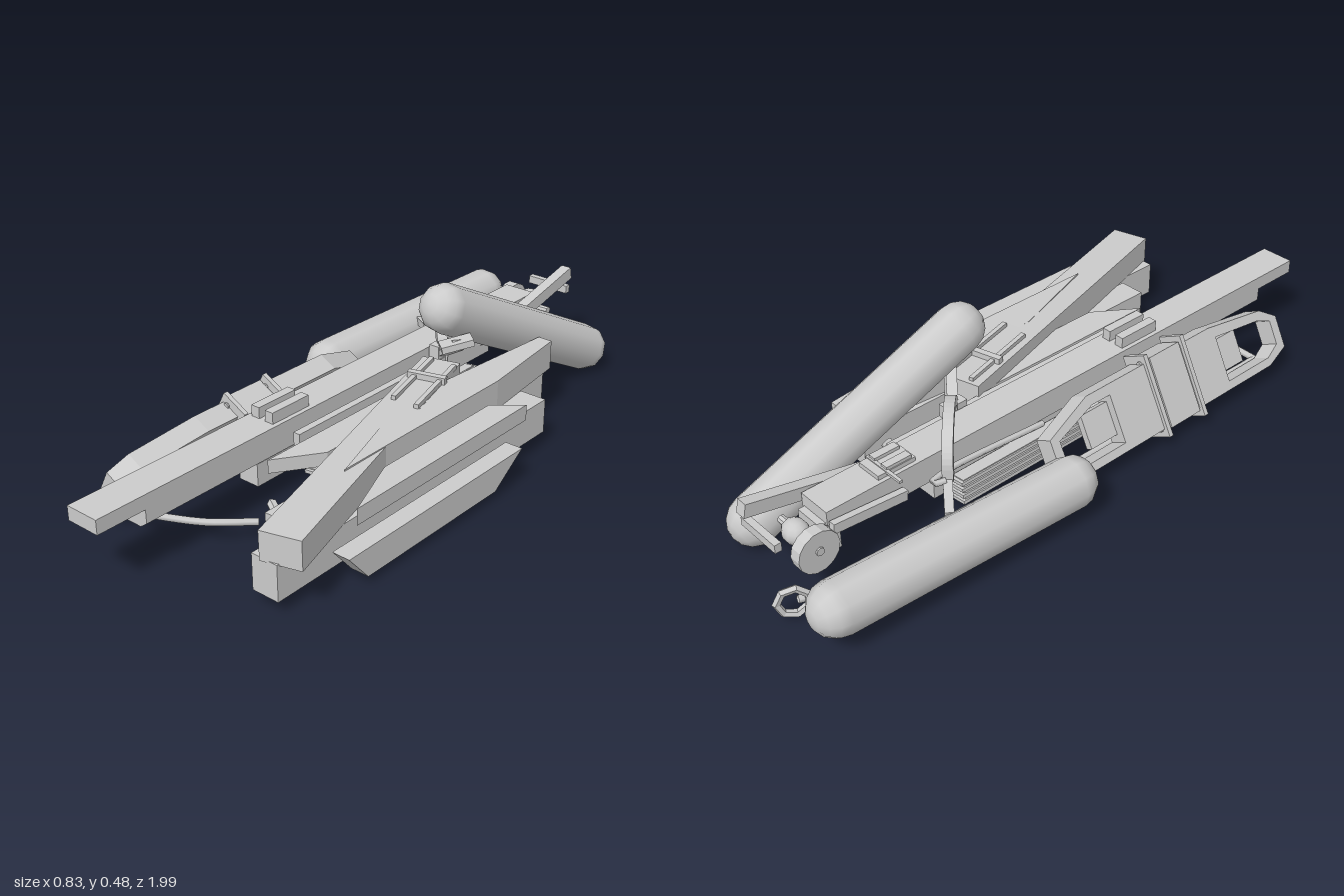
import * as THREE from 'three';
import { mergeVertices } from 'three/addons/utils/BufferGeometryUtils.js';

const flat = new THREE.MeshStandardMaterial({ color: 0xcccccc, flatShading: true, side: THREE.DoubleSide });
const smooth = new THREE.MeshStandardMaterial({ color: 0xcccccc, side: THREE.DoubleSide });
const V = (p) => new THREE.Vector3(...p);

function add(parent, name, geometry, material = flat) {
  const mesh = new THREE.Mesh(geometry, material);
  mesh.name = name;
  parent.add(mesh);
  return mesh;
}

// Box given by its limits on each axis
function block(parent, name, [x0, x1], [y0, y1], [z0, z1]) {
  const mesh = add(parent, name, new THREE.BoxGeometry(x1 - x0, y1 - y0, z1 - z0));
  mesh.position.set((x0 + x1) / 2, (y0 + y1) / 2, (z0 + z1) / 2);
  return mesh;
}

// Box running from a to b
function beam(parent, name, a, b, w, h) {
  const mesh = add(parent, name, new THREE.BoxGeometry(w, h, V(a).distanceTo(V(b))));
  mesh.position.copy(V(a).add(V(b)).multiplyScalar(0.5));
  mesh.lookAt(V(b));
  return mesh;
}

function polygon(points, holes = []) {
  const shape = new THREE.Shape(points.map((p) => new THREE.Vector2(...p)));
  holes.forEach((h) => shape.holes.push(new THREE.Path(h.map((p) => new THREE.Vector2(...p)))));
  return shape;
}

const extrude = (shape, depth) => new THREE.ExtrudeGeometry(shape, { depth, bevelEnabled: false, curveSegments: 10 });

// Outline in x,z raised between two heights
function planSlab(parent, name, points, y0, y1) {
  return add(parent, name, extrude(polygon(points), y1 - y0).rotateX(Math.PI / 2).translate(0, y1, 0));
}

// Outline in z,y extended between two x positions
function sideSlab(parent, name, points, x0, x1, holes) {
  return add(parent, name, extrude(polygon(points, holes), x1 - x0).rotateY(-Math.PI / 2).translate(x1, 0, 0));
}

function rod(parent, name, points, radius) {
  const curve = new THREE.CatmullRomCurve3(points.map(V));
  return add(parent, name, new THREE.TubeGeometry(curve, 16, radius, 6), smooth);
}

// Round-ended tank between the centres of its two domes
function tank(parent, name, a, b, r) {
  const g = mergeVertices(new THREE.CapsuleGeometry(r, V(a).distanceTo(V(b)), 4, 10));
  const mesh = add(parent, name, g, smooth);
  mesh.position.copy(V(a).add(V(b)).multiplyScalar(0.5));
  mesh.quaternion.setFromUnitVectors(new THREE.Vector3(0, 1, 0), V(b).sub(V(a)).normalize());
}

export function createModel() {
  const model = new THREE.Group();
  model.name = 'equipmentBundle';

  // Tanks
  tank(model, 'leftTank', [-0.345, 0.118, -0.178], [-0.312, 0.128, -0.915], 0.075);
  tank(model, 'rightTank', [0.08, 0.41, -0.195], [0.143, 0.078, -0.85], 0.074);

  // Central rail: wide cap over a tapered body
  block(model, 'railCap', [-0.127, -0.022], [0.195, 0.237], [-0.8, 1]);
  add(model, 'railBody', extrude(polygon([[-0.127, 0.2], [-0.127, 0.155], [-0.105, 0.138], [-0.045, 0.138], [-0.022, 0.155], [-0.022, 0.2]]), 1.6)
    .translate(0, 0, -0.75));
  block(model, 'railKeel', [-0.108, -0.04], [0.072, 0.14], [-0.45, 0.45]);
  for (const x of [-0.1, -0.05]) {
    block(model, 'railTooth', [x - 0.014, x + 0.014], [0.235, 0.27], [0.25, 0.39]);
    block(model, 'rearTooth', [x - 0.012, x + 0.012], [0.235, 0.26], [-0.6, -0.52]);
  }
  block(model, 'railSaddle', [-0.115, -0.035], [0.235, 0.25], [-0.63, -0.51]);
  block(model, 'saddlePin', [-0.17, -0.03], [0.245, 0.253], [-0.605, -0.595]);
  sideSlab(model, 'rightRailStrip', [[-0.5, 0.15], [0.35, 0.15], [0.35, 0.21], [-0.5, 0.21]], 0, 0.022);

  // Ribbed side packs under the rail
  for (const side of [-1, 1]) {
    const pack = new THREE.Group();
    pack.name = 'ribbedPack';
    pack.position.set(-0.065 + side * 0.088, 0.105, 0);
    pack.rotation.z = side * 0.12;
    block(pack, 'packBody', [-0.022, 0.022], [-0.036, 0.036], [-0.4, 0.3]);
    for (let i = 0; i < 4; i++) block(pack, 'packRib', [-0.027, 0.027], [-0.034 + i * 0.019, -0.024 + i * 0.019], [-0.41, 0.31]);
    model.add(pack);
  }

  // Stacked boards on the right
  beam(model, 'diagonalBoard', [0.07, 0.202, -0.2], [0.345, 0.188, 0.762], 0.115, 0.085);
  planSlab(model, 'innerBoard', [[0.04, -0.18], [0.13, -0.18], [0.13, 0.36], [0.04, 0.49]], 0.16, 0.2);
  sideSlab(model, 'tallBoard', [[0.62, 0.045], [0.62, 0.15], [-0.48, 0.15], [-0.48, 0.045]], 0.155, 0.237);
  planSlab(model, 'tallBoardTop', [[0.19, -0.52], [0.235, -0.52], [0.27, -0.2], [0.27, 0.45], [0.17, 0.15], [0.155, -0.1]], 0.15, 0.24);
  sideSlab(model, 'middleBoard', [[0.77, 0.045], [0.77, 0.15], [-0.34, 0.15], [-0.34, 0.045]], 0.256, 0.34);
  planSlab(model, 'middleBoardTop', [[0.29, -0.13], [0.37, -0.2], [0.37, 0.52], [0.29, 0.32]], 0.15, 0.198);
  sideSlab(model, 'outerBoard', [[0.6, 0.11], [-0.12, 0.11], [0, 0.027], [0.53, 0.027]], 0.36, 0.415);
  beam(model, 'boardLatch', [0.06, 0.25, -0.06], [0.17, 0.25, -0.09], 0.02, 0.02);
  for (const x of [0.05, 0.13]) beam(model, 'latchArm', [x, 0.248, -0.18], [x + 0.07, 0.246, 0.08], 0.014, 0.014);

  // Tilted open frame on the left with its clasp
  const frame = new THREE.Group();
  frame.name = 'sideFrame';
  frame.position.set(-0.235, 0.14, 0);
  frame.rotation.z = -0.49;
  sideSlab(frame, 'frameLoop',
    [[0.78, -0.07], [0.78, 0.03], [0.72, 0.07], [0.5, 0.1], [0, 0.1], [-0.16, 0.04], [-0.16, -0.05], [-0.08, -0.1], [0.7, -0.1]],
    -0.035, 0.025, [
      [[0.75, -0.05], [0.75, 0.025], [0.7, 0.045], [0.52, 0.065], [0.52, -0.075], [0.7, -0.075]],
      [[0.08, -0.075], [0.08, 0.07], [0.01, 0.07], [-0.13, 0.025], [-0.13, -0.04], [-0.07, -0.075]],
    ]);
  block(frame, 'frameWeb', [-0.01, 0.012], [-0.05, 0.05], [-0.02, 0.62]);
  block(frame, 'claspPlate', [-0.042, 0.04], [-0.105, 0.11], [0.25, 0.37]);
  for (const z of [0.235, 0.385]) {
    block(frame, 'claspRail', [-0.046, 0.042], [-0.125, 0.125], [z - 0.007, z + 0.007]);
    for (const y of [-0.1, 0.1]) {
      const pin = add(frame, 'claspPin', new THREE.CylinderGeometry(0.009, 0.009, 0.026, 8).rotateX(Math.PI / 2));
      pin.position.set(-0.02, y, z);
    }
  }
  model.add(frame);

  // Arch over the rail and its strap to the right tank
  const arch = new THREE.Shape();
  arch.absarc(0, 0, 0.138, 0, Math.PI, false);
  arch.lineTo(-0.138, -0.05);
  arch.lineTo(-0.105, -0.05);
  arch.absarc(0, 0, 0.105, Math.PI, 0, true);
  arch.lineTo(0.105, -0.05);
  arch.lineTo(0.138, -0.05);
  const archMesh = add(model, 'arch', extrude(arch, 0.03).translate(0, 0, -0.015).scale(1, 0.72, 1));
  archMesh.position.set(-0.085, 0.22, -0.37);
  archMesh.rotation.y = -0.75;
  beam(model, 'archStrap', [0.01, 0.225, -0.28], [0.15, 0.325, -0.17], 0.03, 0.03);
  beam(model, 'strapBuckle', [0.11, 0.315, -0.14], [0.17, 0.335, -0.21], 0.05, 0.02);
  beam(model, 'leftStrap', [-0.18, 0.18, -0.46], [-0.27, 0.16, -0.53], 0.025, 0.025);
  block(model, 'strapFoot', [-0.015, 0.02], [0.155, 0.25], [-0.32, -0.25]);

  // Bent rods with end loops
  rod(model, 'frontRod', [[-0.24, 0.045, 0.72], [-0.13, 0.06, 0.7], [-0.02, 0.065, 0.65], [0.07, 0.06, 0.56]], 0.011);
  const loop = add(model, 'frontLoop', new THREE.TorusGeometry(0.045, 0.013, 5, 6));
  loop.position.set(0.105, 0.065, 0.52);
  loop.rotation.set(0.4, -0.5, 0);
  rod(model, 'sideRod', [[-0.165, 0.06, -0.93], [-0.2, 0.05, -0.8], [-0.215, 0.035, -0.5], [-0.225, 0.04, 0.1], [-0.235, 0.045, 0.72]], 0.011);
  const rearLoop = add(model, 'rearLoop', new THREE.TorusGeometry(0.042, 0.011, 5, 7));
  rearLoop.position.set(-0.168, 0.065, -0.945);
  rearLoop.rotation.y = 1.1;
  for (const side of [-1, 1]) {
    const x = -0.07 + side * 0.085;
    rod(model, 'sideHook', [[x, 0.17, -0.1], [x, 0.19, -0.45], [x + side * 0.015, 0.19, -0.51], [x + side * 0.03, 0.19, -0.47]], 0.009);
  }

  // Rear wheel, axle and tail plates
  const wheel = add(model, 'rearWheel', new THREE.CylinderGeometry(0.062, 0.062, 0.035, 14).rotateZ(Math.PI / 2));
  wheel.position.set(-0.142, 0.16, -0.85);
  const hub = add(model, 'wheelHub', new THREE.SphereGeometry(0.035, 10, 8), smooth);
  hub.position.set(-0.075, 0.18, -0.86);
  hub.scale.x = 1.2;
  const axle = add(model, 'wheelAxle', new THREE.CylinderGeometry(0.012, 0.012, 0.17, 8).rotateZ(Math.PI / 2));
  axle.position.set(-0.08, 0.165, -0.85);
  beam(model, 'tailPlate', [-0.002, 0.18, -0.58], [-0.002, 0.265, -0.96], 0.034, 0.04);
  beam(model, 'tailBrace', [-0.145, 0.18, -0.57], [-0.145, 0.2, -0.8], 0.02, 0.03);
  block(model, 'tailCrossbar', [-0.13, 0.015], [0.2, 0.225], [-0.955, -0.935]);
  block(model, 'tailBracket', [-0.12, -0.03], [0.1, 0.2], [-0.82, -0.76]);
  return model;
}
